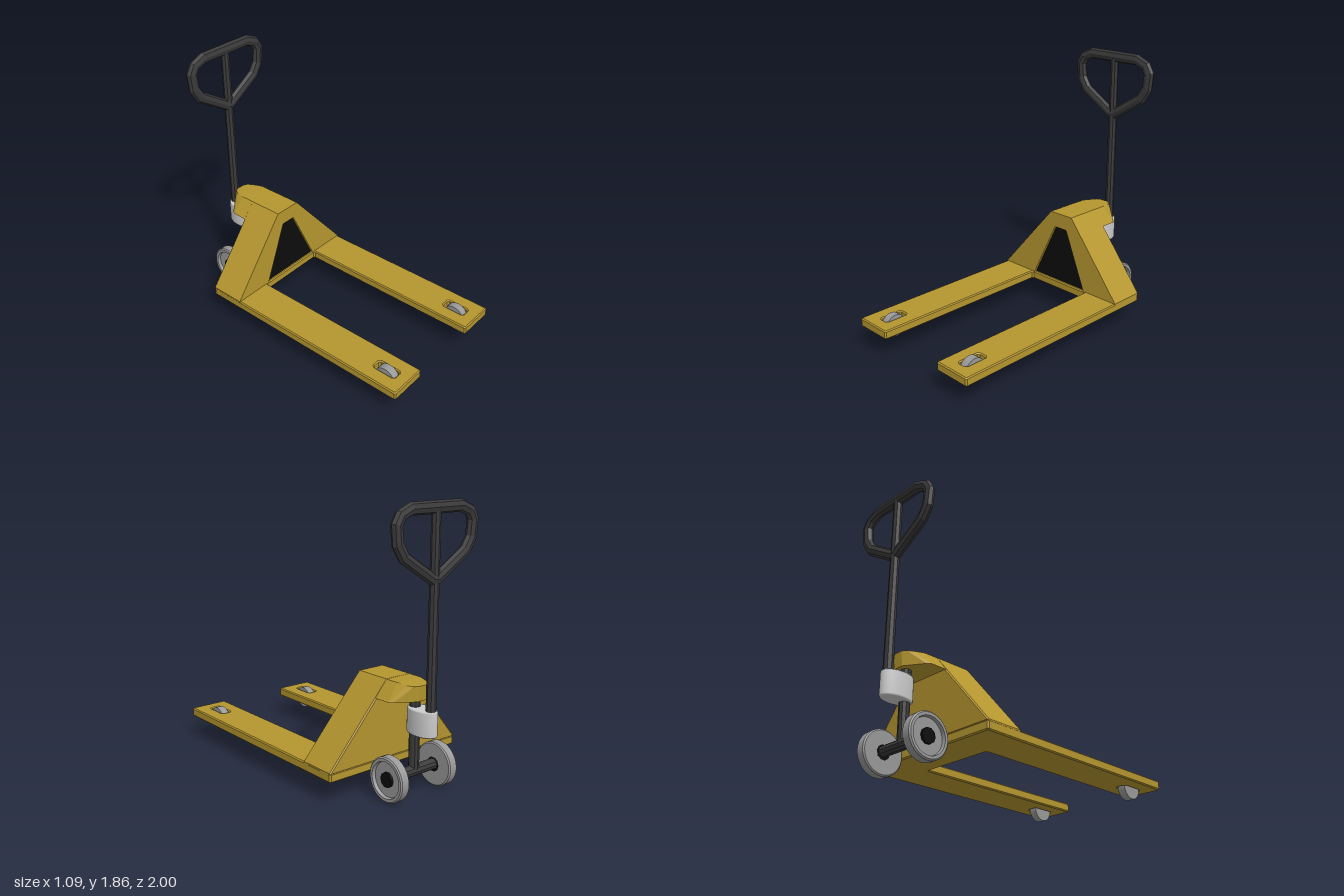
import * as THREE from 'three';
import { ConvexGeometry } from 'three/addons/geometries/ConvexGeometry.js';

const mat = (color, flatShading = false) => new THREE.MeshStandardMaterial({ color, flatShading });
const yellow = mat(0xb5962f, true);
const dark = mat(0x3a3a3a, true);
const black = mat(0x0c0c0c);
const wheelGrey = mat(0x999999);
const lightGrey = mat(0xcccccc);

const shapeOf = (pts) => new THREE.Shape(pts.map(([x, y]) => new THREE.Vector2(x, y)));
const mirrored = (half) => [...half, ...half.map(([x, y]) => [-x, y]).reverse()];

// Extrusion with a small bevel that keeps the outline and depth at their given size
function slab(shape, depth, bevel = 0.008) {
  const geo = new THREE.ExtrudeGeometry(shape, {
    depth: depth - 2 * bevel, bevelEnabled: bevel > 0, bevelSize: bevel,
    bevelThickness: bevel, bevelOffset: -bevel, bevelSegments: 1, curveSegments: 4,
  });
  return geo.translate(0, 0, bevel);
}

// Curve whose samples fall exactly on the corners of a closed polygon
class LoopCurve extends THREE.Curve {
  constructor(points) { super(); this.points = points; }
  at(i) { const n = this.points.length; return this.points[((i % n) + n) % n]; }
  index(u) { return Math.round(u * this.points.length); }
  getPointAt(u) { return this.at(this.index(u)).clone(); }
  getTangentAt(u) {
    const i = this.index(u), p = this.at(i);
    const a = p.clone().sub(this.at(i - 1)).normalize();
    const b = this.at(i + 1).clone().sub(p).normalize();
    return a.add(b).normalize();
  }
}

export function createModel() {
  const root = new THREE.Group();
  root.name = 'palletTruck';
  const add = (name, geo, material, x = 0, y = 0, z = 0, parent = root) => {
    const mesh = new THREE.Mesh(geo, material);
    mesh.name = name;
    mesh.position.set(x, y, z);
    parent.add(mesh);
    return mesh;
  };

  // Forks and rear cross piece as one U-shaped plate, with roller slots
  const plate = shapeOf(mirrored([
    [0.255, 0.387], [0.265, 0.375], [0.265, -0.99], [0.275, -1], [0.535, -1],
    [0.545, -0.99], [0.545, 0.64], [0.535, 0.65],
  ]));
  for (const s of [-1, 1]) {
    const c = s * 0.405, w = 0.036, z0 = -0.91, z1 = -0.742, r = 0.012;
    plate.holes.push(new THREE.Path([
      [c - w + r, z0], [c + w - r, z0], [c + w, z0 + r], [c + w, z1 - r],
      [c + w - r, z1], [c - w + r, z1], [c - w, z1 - r], [c - w, z0 + r],
    ].map(([x, y]) => new THREE.Vector2(x, y))));
  }
  add('forks', slab(plate, 0.062).rotateX(-Math.PI / 2), yellow, 0, 0.15, 0);

  // Housing leaning slightly back: solid rear block, open front frame, dark panel
  const lean = (geo) => geo.applyMatrix4(new THREE.Matrix4().set(
    1, 0, 0, 0, 0, 1, 0, 0, 0, -0.035, 1, 0.007, 0, 0, 0, 1));
  const outline = mirrored([[0.545, 0.205], [0.545, 0.215], [0.1, 0.737]]);
  add('housing', lean(slab(shapeOf(outline), 0.23).translate(0, 0, -0.65)), yellow);
  const frame = shapeOf([
    [0.545, 0.205], [0.545, 0.215], [0.1, 0.737], [-0.1, 0.737], [-0.545, 0.215],
    [-0.545, 0.205], [-0.25, 0.205], [-0.055, 0.63], [0.055, 0.63], [0.25, 0.205],
  ]);
  add('housingFrame', lean(slab(frame, 0.046, 0).translate(0, 0, -0.432)), yellow);
  const panel = shapeOf(mirrored([[0.253, 0.2], [0.055, 0.632]]));
  add('frontPanel', lean(slab(panel, 0.02, 0).translate(0, 0, -0.425)), black);

  // Tapered nose reaching back over the steering post
  const nose = [];
  const levels = [
    [0.628, [[0.19, -0.65], [0.19, -0.775], [0.17, -0.8], [0.08, -0.855], [0.04, -0.88]]],
    [0.736, [[0.1, -0.65], [0.1, -0.76]]],
    [0.728, [[0.085, -0.83], [0.06, -0.872], [0.03, -0.887]]],
  ];
  for (const [y, pts] of levels)
    for (const [x, z] of pts) nose.push(new THREE.Vector3(x, y, z), new THREE.Vector3(-x, y, z));
  add('nose', new ConvexGeometry(nose), yellow);

  // Steering post, collar and axle
  add('steeringPost', new THREE.CylinderGeometry(0.035, 0.035, 0.5, 10), dark, 0, 0.39, -0.818);
  const collarProfile = [[0, 0], [0.94, 0], [1, 0.01], [1, 0.157], [0.94, 0.167], [0, 0.167]]
    .map(([x, y]) => new THREE.Vector2(x, y));
  add('collar', new THREE.LatheGeometry(collarProfile, 32).scale(0.068, 1, 0.117), lightGrey, 0, 0.414, -0.883);
  const axle = new THREE.CylinderGeometry(0.037, 0.037, 0.37, 10).rotateZ(Math.PI / 2);
  add('axle', axle, dark, 0, 0.152, -0.818);

  // Steering wheels, dished on the outer side, and fork rollers
  const tyre = [
    [0, -0.035], [0.139, -0.035], [0.139, -0.035], [0.148, -0.027], [0.148, -0.027],
    [0.148, 0.027], [0.148, 0.027], [0.139, 0.035], [0.139, 0.035], [0.12, 0.035],
    [0.12, 0.035], [0.115, 0.012], [0.115, 0.012], [0, 0.012],
  ].map(([x, y]) => new THREE.Vector2(x, y));
  for (const s of [-1, 1]) {
    const side = s > 0 ? 'left' : 'right';
    const wheel = new THREE.Group();
    wheel.name = side + 'SteeringWheel';
    wheel.position.set(s * 0.21, 0.148, -0.818);
    wheel.rotation.z = -s * Math.PI / 2;
    root.add(wheel);
    add('tyre', new THREE.LatheGeometry(tyre, 40), wheelGrey, 0, 0, 0, wheel);
    add('hub', new THREE.CylinderGeometry(0.05, 0.05, 0.065, 10), black, 0, -0.003, 0, wheel);
    const roller = new THREE.CylinderGeometry(0.079, 0.079, 0.056, 32).rotateZ(Math.PI / 2);
    add(side + 'ForkRoller', roller, wheelGrey, s * 0.405, 0.154, 0.83);
  }

  // Pull handle: pole and closed grip loop
  add('handlePole', new THREE.CylinderGeometry(0.029, 0.033, 1.37, 8), dark, 0, 1.135, -0.955);
  const grip = mirrored([
    [0.06, 1.82], [0.205, 1.82], [0.285, 1.787], [0.315, 1.735], [0.304, 1.625],
    [0.255, 1.547], [0.02, 1.4],
  ]).map(([x, y]) => new THREE.Vector3(x, y, 0));
  const gripGeo = new THREE.TubeGeometry(new LoopCurve(grip), grip.length, 0.04, 8, true);
  add('handleGrip', gripGeo.scale(1, 1, 0.8), dark, 0, 0, -0.955);

  return root;
}
